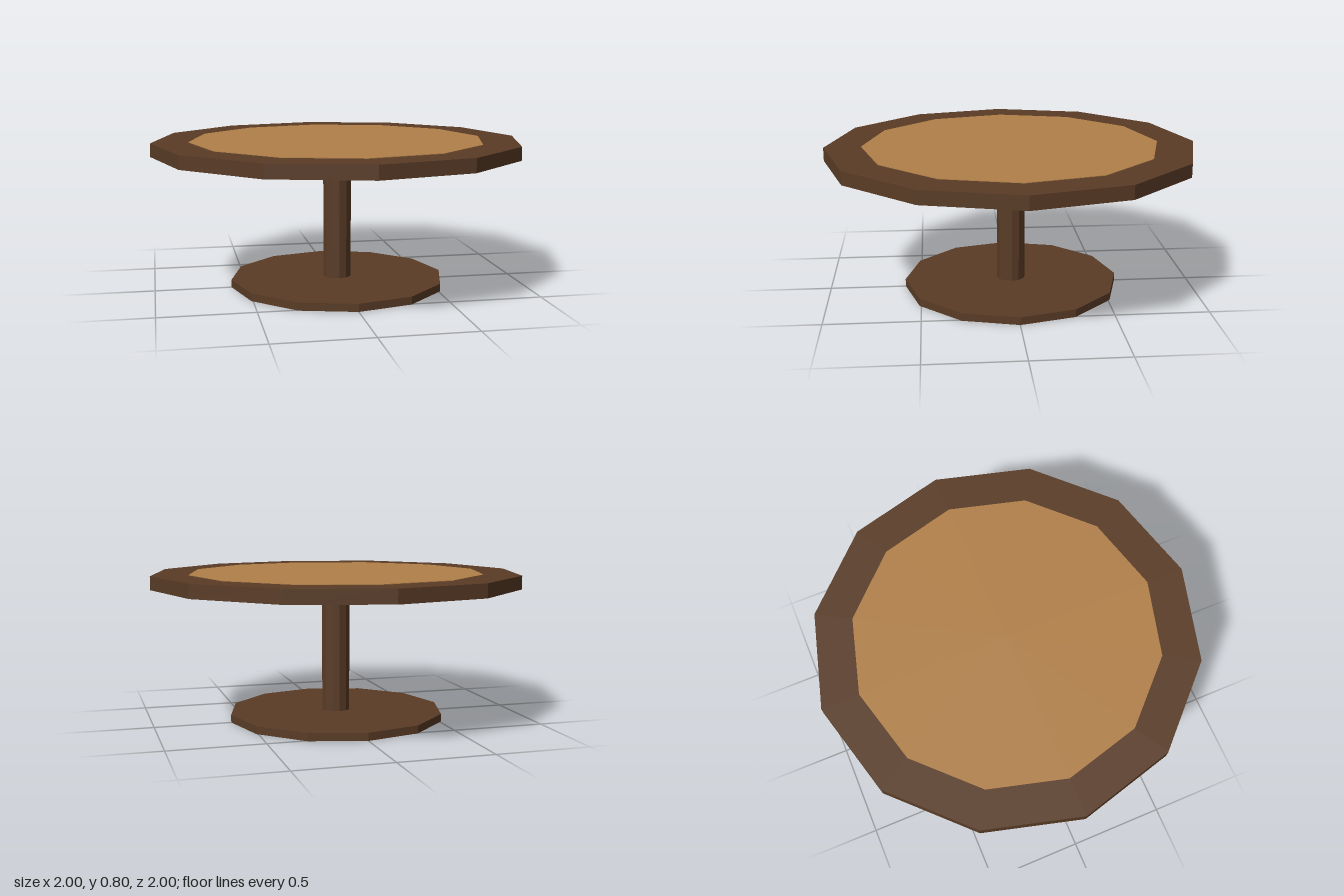
import * as THREE from 'three';

const SIDES = 12;

export function createModel() {
  const group = new THREE.Group();
  group.name = 'roundTable';

  const darkWood = new THREE.MeshStandardMaterial({ color: 0x5a3c26, flatShading: true });
  darkWood.name = 'darkWood';
  const lightWood = new THREE.MeshStandardMaterial({ color: 0xb28049, flatShading: true });
  lightWood.name = 'lightWood';

  // Twelve-sided disc or post standing between two heights
  function addPrism(name, radius, bottom, top, material) {
    const geometry = new THREE.CylinderGeometry(radius, radius, top - bottom, SIDES);
    const mesh = new THREE.Mesh(geometry, material);
    mesh.name = name;
    mesh.position.y = (bottom + top) / 2;
    group.add(mesh);
  }

  addPrism('base', 0.588, 0, 0.042, darkWood);
  addPrism('column', 0.077, 0.042, 0.728, darkWood);
  addPrism('tabletop', 1, 0.728, 0.8, darkWood);
  // Thin lighter inlay on the tabletop
  addPrism('topInlay', 0.8, 0.8, 0.803, lightWood);

  return group;
}
